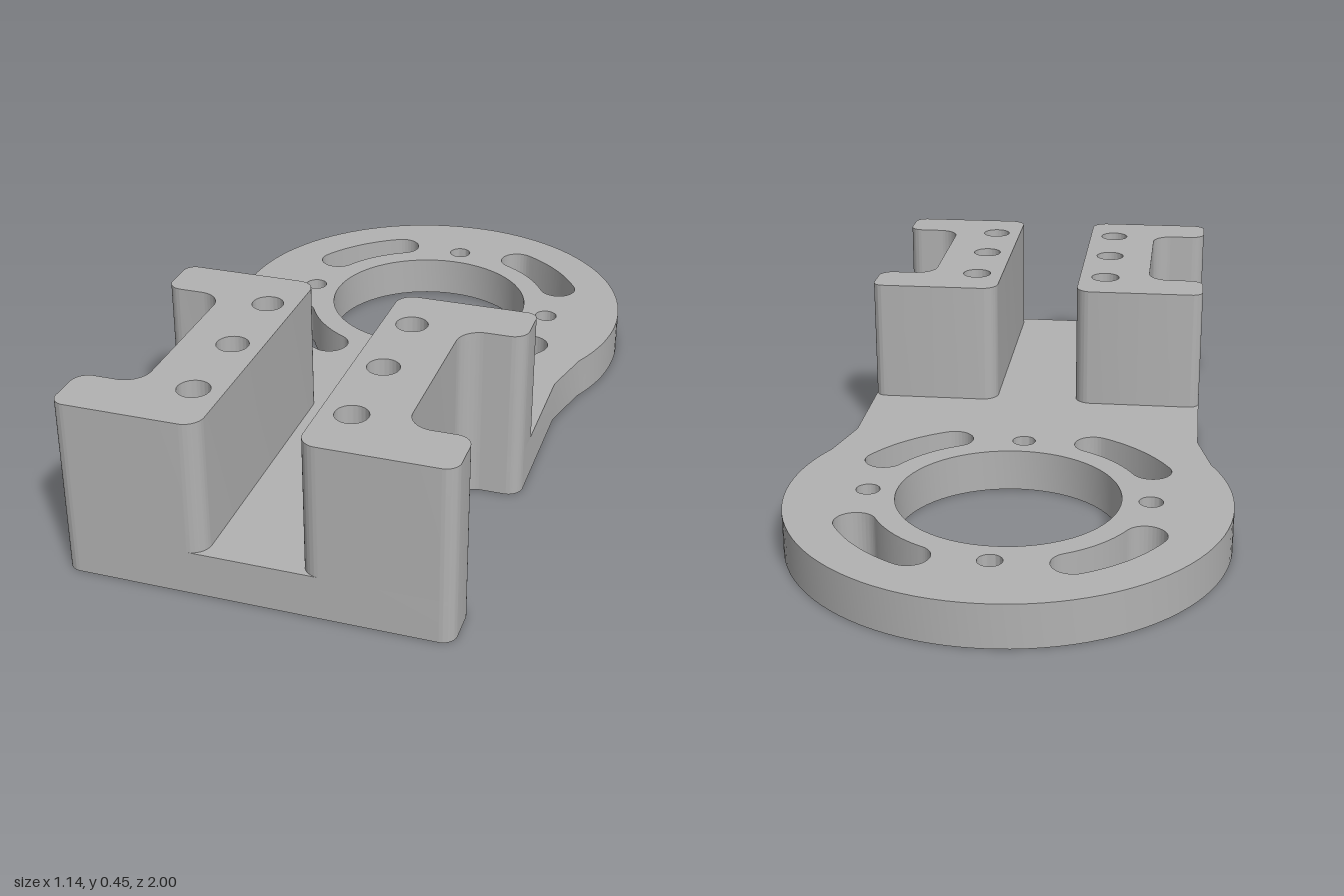
import * as THREE from 'three';
import { toCreasedNormals } from 'three/addons/utils/BufferGeometryUtils.js';

const BASE = 0.113, TOP = 0.453;
const RING_Z = -0.43, RING_R = 0.57;

// Append corners [x, z, radius] to a path, rounding each one
function addCorners(path, corners, prev, next) {
  const all = [prev, ...corners, next].map(([x, z]) => new THREE.Vector2(x, z));
  corners.forEach(([, , r], i) => {
    const p = all[i + 1];
    if (!r) { path.lineTo(p.x, p.y); return; }
    const u = all[i].clone().sub(p).normalize();
    const v = all[i + 2].clone().sub(p).normalize();
    const at = (d, k) => p.clone().addScaledVector(d, r * k);
    const a = at(u, 1), b = at(u, 0.448), c = at(v, 0.448), d = at(v, 1);
    path.lineTo(a.x, a.y);
    path.bezierCurveTo(b.x, b.y, c.x, c.y, d.x, d.y);
  });
}

const circle = (x, z, r) => new THREE.Path().absarc(x, z, r, 0, Math.PI * 2, false);

// Curved slot with round ends, concentric with the ring
function slot(mid) {
  const R = 0.405, w = 0.053, a0 = mid - 0.288, a1 = mid + 0.288;
  const p = new THREE.Path();
  p.absarc(0, RING_Z, R + w, a0, a1, false);
  p.absarc(R * Math.cos(a1), RING_Z + R * Math.sin(a1), w, a1, a1 + Math.PI, false);
  p.absarc(0, RING_Z, R - w, a1, a0, true);
  p.absarc(R * Math.cos(a0), RING_Z + R * Math.sin(a0), w, a0 + Math.PI, a0 + Math.PI * 2, false);
  return p;
}

// Extrude an (x, z) outline between two heights
function slab(name, shape, y0, y1, material) {
  const geo = new THREE.ExtrudeGeometry(shape, { depth: y1 - y0, bevelEnabled: false, curveSegments: 32 });
  geo.rotateX(Math.PI / 2).translate(0, y1, 0);
  const mesh = new THREE.Mesh(toCreasedNormals(geo, 0.5), material);
  mesh.name = name;
  return mesh;
}

const boltHoles = (s) => [0.385, 0.615, 0.845].map((z) => circle(s * 0.19, z, 0.04));

// Outer edge shared by the plate and the blocks, with its side recess
const sideEdge = [
  [0.475, 0.375, 0.04], [0.317, 0.375, 0.06], [0.317, 0.857, 0.06],
  [0.475, 0.857, 0.04], [0.475, 1, 0.035],
];

export function createModel() {
  const group = new THREE.Group();
  group.name = 'motorMountBracket';
  const grey = new THREE.MeshStandardMaterial({ color: 0xb2b2b2 });
  grey.name = 'grey';

  // Base plate: ring end, tapered neck and recessed foot
  const a = Math.asin(0.25 / RING_R), ringX = RING_R * Math.cos(a);
  const plate = new THREE.Shape();
  plate.absarc(0, RING_Z, RING_R, Math.PI - a, Math.PI * 2 + a, false);
  const right = [[0.475, -0.03, 0], ...sideEdge];
  const left = right.map(([x, z, r]) => [-x, z, r]).reverse();
  addCorners(plate, [...right, ...left], [ringX, -0.18], [-ringX, -0.18]);
  plate.closePath();

  // Ring openings: bore, four screw holes, four slots, then foot bolt holes
  plate.holes.push(circle(0, RING_Z, 0.288));
  for (let i = 0; i < 4; i++) {
    const t = i * Math.PI / 2;
    plate.holes.push(circle(0.362 * Math.cos(t), RING_Z + 0.362 * Math.sin(t), 0.031));
    plate.holes.push(slot(t + Math.PI / 4));
  }
  plate.holes.push(...boltHoles(1), ...boltHoles(-1));
  group.add(slab('basePlate', plate, 0, BASE, grey));

  // Two upright clamp blocks
  for (const [name, s] of [['leftBlock', 1], ['rightBlock', -1]]) {
    const corners = [
      [0.475, 0.235, 0.03], ...sideEdge, [0.115, 1, 0.045], [0.115, 0.235, 0.045],
    ].map(([x, z, r]) => [s * x, z, r]);
    const block = new THREE.Shape();
    block.moveTo(s * 0.3, 0.235);
    addCorners(block, corners, [s * 0.3, 0.235], [s * 0.3, 0.235]);
    block.closePath();
    block.holes.push(...boltHoles(s));
    group.add(slab(name, block, BASE, TOP, grey));
  }
  return group;
}
